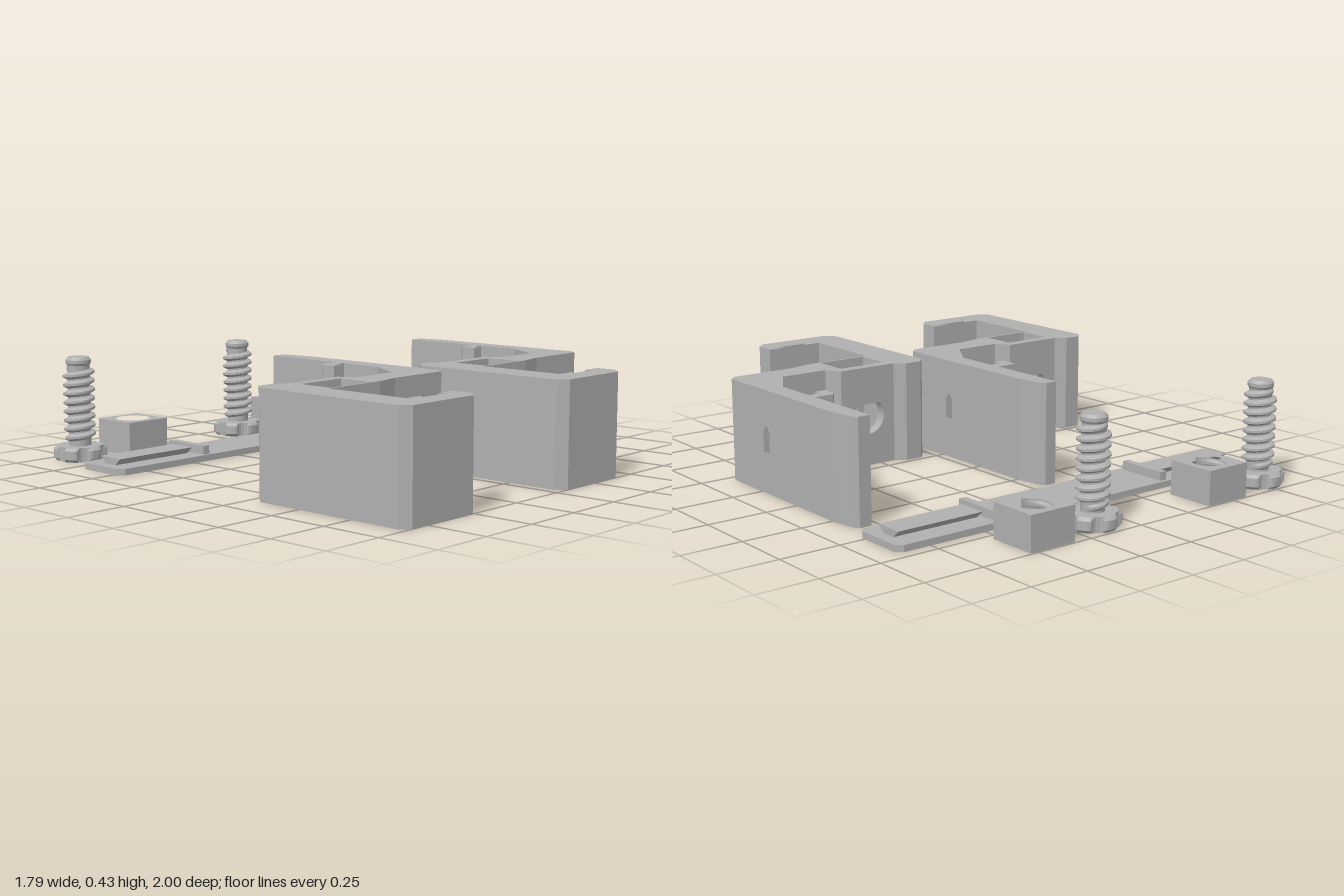
import * as THREE from 'three';

const H = 0.42;
const grey = new THREE.MeshStandardMaterial({ color: 0xb0b0b0 });
grey.name = 'grey plastic';

function part(name, geometry, parent) {
  const mesh = new THREE.Mesh(geometry, grey);
  mesh.name = name;
  parent.add(mesh);
  return mesh;
}

function box(name, parent, x0, x1, y0, y1, z0, z1) {
  const g = new THREE.BoxGeometry(x1 - x0, y1 - y0, z1 - z0);
  g.translate((x0 + x1) / 2, (y0 + y1) / 2, (z0 + z1) / 2);
  return part(name, g, parent);
}

const shapeOf = (pts) => new THREE.Shape(pts.map(([a, b]) => new THREE.Vector2(a, b)));
const extrude = (shape, depth) =>
  new THREE.ExtrudeGeometry(shape, { depth, bevelEnabled: false, curveSegments: 32 });

// Plan outline given as [x, z], raised from y0 to y1
function upright(pts, y0, y1, hole) {
  const s = shapeOf(pts.map(([x, z]) => [x, -z]));
  if (hole) s.holes.push(hole);
  return extrude(s, y1 - y0).rotateX(-Math.PI / 2).translate(0, y0, 0);
}

// Outline given as [z, y], running from x0 to x1
function sideways(pts, x0, x1, holePts) {
  const flip = ([z, y]) => [-z, y];
  const s = shapeOf(pts.map(flip));
  if (holePts) s.holes.push(shapeOf(holePts.map(flip)));
  return extrude(s, x1 - x0).rotateY(Math.PI / 2).translate(x0, 0, 0);
}

const rect = (a0, a1, b0, b1) => [[a0, b0], [a1, b0], [a1, b1], [a0, b1]];

// Helical thread: a ridge profile swept round the axis, fading at both ends
function thread(rRoot, rCrest, y0, y1, pitch, inward) {
  const profile = [[0, 0], [0.3, 1], [0.55, 1], [0.85, 0], [1, 0]];
  const seg = 28;
  const steps = Math.floor(((y1 - y0) / pitch - 1) * seg);
  const pos = [];
  const index = [];
  const n = profile.length;
  for (let i = 0; i <= steps; i++) {
    const a = (i / seg) * Math.PI * 2;
    const fade = Math.min(1, i / (seg / 2), (steps - i) / (seg / 2));
    for (const [h, d] of profile) {
      const r = rRoot + (rCrest - rRoot) * d * fade;
      pos.push(r * Math.cos(a), y0 + (i / seg + h) * pitch, -r * Math.sin(a));
    }
  }
  for (let i = 0; i < steps; i++) {
    for (let j = 0; j < n - 1; j++) {
      const a = i * n + j, b = a + n, c = b + 1, d = a + 1;
      if (inward) index.push(a, c, b, a, d, c);
      else index.push(a, b, c, a, c, d);
    }
  }
  const g = new THREE.BufferGeometry();
  g.setAttribute('position', new THREE.Float32BufferAttribute(pos, 3));
  g.setIndex(index);
  const flat = g.toNonIndexed();
  flat.computeVertexNormals();
  return flat;
}

function makeBracket() {
  const g = new THREE.Group();
  g.name = 'bracket';

  // C-shaped jaw with the dovetail groove in its lip
  part('jaw', upright([
    [-0.70, 0.305], [-0.72, 0.305], [-0.76, 0.27], [-0.835, 0.27], [-0.867, 0.305],
    [-0.867, 0.965], [-0.83, 1.0], [-0.505, 1.0], [-0.465, 0.96], [-0.465, 0.875],
    [-0.55, 0.875], [-0.525, 0.90], [-0.665, 0.90], [-0.64, 0.875], [-0.72, 0.875],
    [-0.72, 0.51], [-0.70, 0.51],
  ], 0, H), g);

  // Nut pocket: floor plus two walls pierced by a teardrop screw hole
  const px0 = -0.70, px1 = -0.485, cx = (px0 + px1) / 2, cy = 0.21, r = 0.075;
  box('pocketFloor', g, px0, px1, 0, 0.105, 0.35, 0.50);
  for (const [name, z0, z1] of [['pocketBackWall', 0.305, 0.35], ['pocketFrontWall', 0.50, 0.51]]) {
    const s = shapeOf(rect(px0, px1, 0, H));
    const hole = new THREE.Path();
    hole.moveTo(cx, cy + r * Math.SQRT2);
    hole.absarc(cx, cy, r, Math.PI * 0.75, Math.PI * 2.25, false);
    hole.closePath();
    s.holes.push(hole);
    part(name, extrude(s, z1 - z0).translate(0, 0, z0), g);
  }

  // Bridge from the pocket to the foot of the arm
  part('bridge', upright([
    [px1, 0.305], [-0.455, 0.305], [-0.42, 0.367], [-0.217, 0.367], [-0.135, 0.235],
    [-0.035, 0.235], [-0.035, 0.46], [-0.06, 0.487], [-0.335, 0.487], [-0.445, 0.51], [px1, 0.51],
  ], 0, H), g);

  // Arm section with the small pointed slot
  part('slottedArm', sideways(rect(0.1, 0.235, 0, H), -0.12, -0.035,
    [[0.183, 0.17], [0.226, 0.17], [0.226, 0.25], [0.212, 0.275], [0.197, 0.275], [0.183, 0.25]]), g);
  for (const [y0, y1] of [[0, 0.17], [0.275, H]]) {
    part('armGusset', upright([[-0.12, 0.211], [-0.12, 0.235], [-0.135, 0.235]], y0, y1), g);
  }

  // Upper arm with its hook
  part('hookArm', upright([
    [-0.12, 0.1], [-0.12, 0.025], [-0.17, 0.025], [-0.17, 0.06], [-0.215, 0.06], [-0.215, -0.005],
    [-0.20, -0.022], [-0.12, -0.022], [-0.12, -0.383], [-0.068, -0.383], [-0.055, -0.37],
    [-0.035, -0.26], [-0.035, 0.1],
  ], 0, H), g);
  return g;
}

function makeScrew() {
  const g = new THREE.Group();
  g.name = 'screw';
  // Six-lobed head with chamfered rims
  const head = new THREE.CylinderGeometry(0.11, 0.11, 0.06, 72, 3).translate(0, 0.03, 0);
  const p = head.attributes.position;
  for (let i = 0; i < p.count; i++) {
    const x = p.getX(i), z = p.getZ(i), y = p.getY(i);
    const rad = Math.hypot(x, z);
    if (rad < 0.001) continue;
    const rim = y < 0.005 || y > 0.055;
    if (!rim) p.setY(i, y < 0.03 ? 0.012 : 0.048);
    const wave = Math.cos(6 * Math.atan2(z, x));
    const lobe = 0.11 - 0.02 * THREE.MathUtils.smoothstep(wave, -0.3, 0.9);
    const k = (rim ? Math.min(lobe, 0.098) : lobe) / rad;
    p.setX(i, x * k);
    p.setZ(i, z * k);
  }
  const flatHead = head.toNonIndexed();
  flatHead.computeVertexNormals();
  part('screwHead', flatHead, g);
  // Plain core with a chamfered tip, then the thread
  const core = [[0.046, 0.05], [0.046, 0.395], [0.052, 0.405], [0.052, 0.418], [0.042, 0.43], [0, 0.43]];
  const shaft = new THREE.LatheGeometry(core.map(([a, b]) => new THREE.Vector2(a, b)), 32).toNonIndexed();
  shaft.computeVertexNormals();
  part('screwShaft', shaft, g);
  part('screwThread', thread(0.045, 0.065, 0.06, 0.412, 0.037, false), g);
  return g;
}

function makeNut() {
  const g = new THREE.Group();
  g.name = 'nut';
  const hole = new THREE.Path().absarc(0, 0, 0.072, 0, Math.PI * 2, true);
  part('nutBody', upright(rect(-0.103, 0.103, -0.103, 0.103), 0, 0.14, hole), g);
  part('nutThread', thread(0.0725, 0.058, 0.0, 0.14, 0.037, true), g);
  return g;
}

function makePlate() {
  const g = new THREE.Group();
  g.name = 'slidePlate';
  // Chamfered strip with a centre notch in its front edge
  part('plateBase', upright([
    [-0.893, -0.68], [-0.868, -0.705], [0.868, -0.705], [0.893, -0.68], [0.893, -0.485], [0.868, -0.458],
    [0.035, -0.458], [0, -0.478], [-0.035, -0.458], [-0.868, -0.458], [-0.893, -0.485],
  ], 0, 0.026), g);
  // Dovetail rails and stop ribs, mirrored
  const dovetail = [[-0.61, 0.026], [-0.55, 0.026], [-0.52, 0.054], [-0.64, 0.054]];
  for (const s of [-1, 1]) {
    const [a, b] = s < 0 ? [-0.845, -0.463] : [0.463, 0.845];
    part('dovetailRail', sideways(dovetail, a, b), g);
    box('stopRib', g, s * 0.426 - 0.016, s * 0.426 + 0.016, 0.026, 0.062, -0.69, -0.473);
  }
  return g;
}

export function createModel() {
  const model = new THREE.Group();
  model.name = 'clampKit';
  // Two identical sets of bracket, screw and nut
  for (const dx of [0, 0.901]) {
    const bracket = makeBracket();
    bracket.position.x = dx;
    const screw = makeScrew();
    screw.position.set(-0.756 + dx, 0, -0.89);
    const nut = makeNut();
    nut.position.set(-0.473 + dx, 0, -0.89);
    model.add(bracket, screw, nut);
  }
  model.add(makePlate());
  return model;
}
